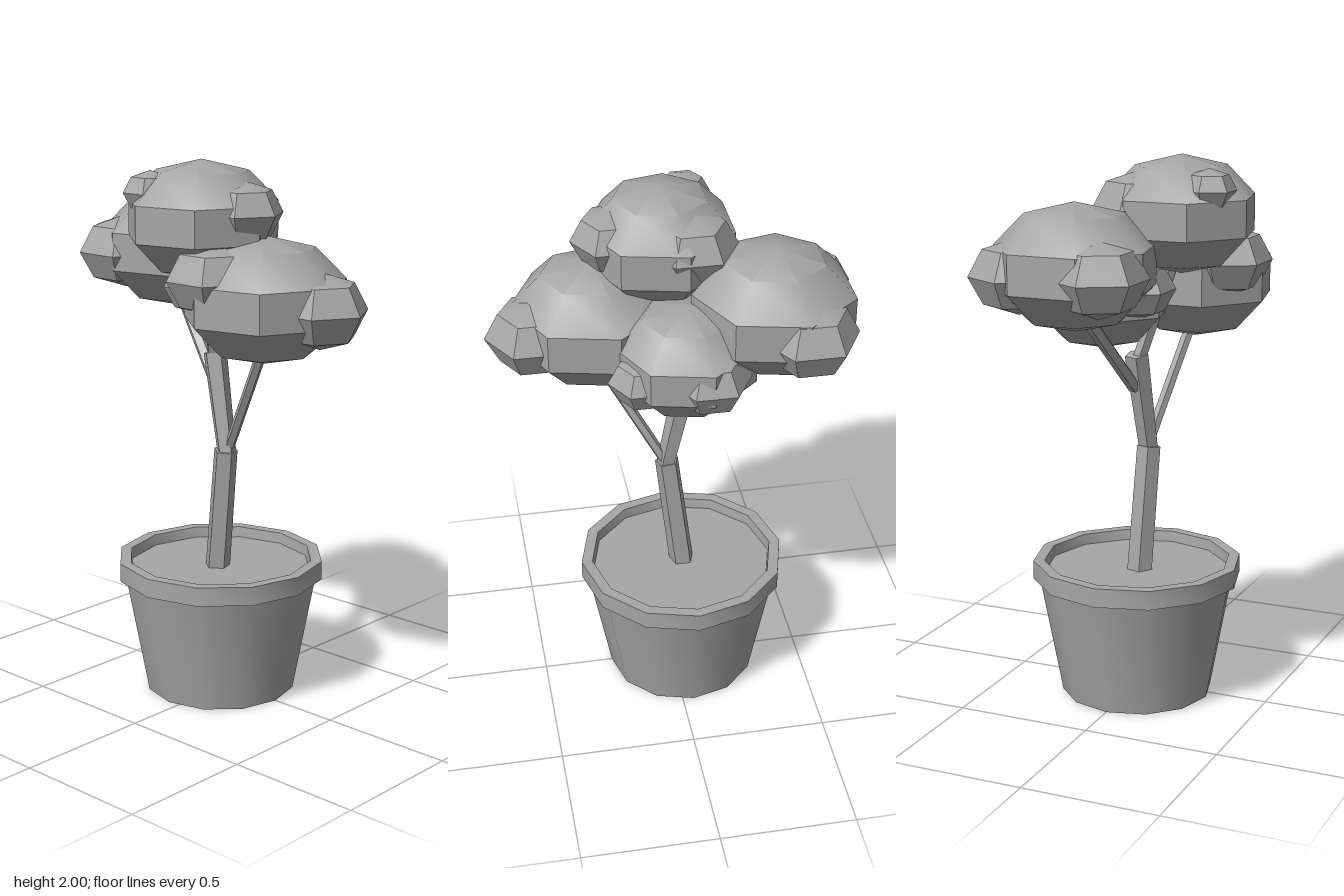
import * as THREE from 'three';
import { toCreasedNormals } from 'three/addons/utils/BufferGeometryUtils.js';

const CREASE = THREE.MathUtils.degToRad(40);
const UP = new THREE.Vector3(0, 1, 0);

export function createModel() {
  const model = new THREE.Group();
  const grey = new THREE.MeshStandardMaterial({ color: 0xa6a6a6 });
  grey.name = 'plainGrey';

  function add(name, geometry, x = 0, y = 0, z = 0) {
    const mesh = new THREE.Mesh(toCreasedNormals(geometry, CREASE), grey);
    mesh.name = name;
    mesh.position.set(x, y, z);
    model.add(mesh);
    return mesh;
  }

  // Twelve-sided pot with an overhanging rim
  const profile = [
    [0.28, 0], [0.362, 0.44], [0.386, 0.44], [0.386, 0.51], [0.345, 0.51], [0.338, 0.45],
  ].map(([r, y]) => new THREE.Vector2(r, y));
  add('pot', new THREE.LatheGeometry(profile, 12), -0.043);
  add('potBase', new THREE.CircleGeometry(0.28, 12).rotateX(Math.PI / 2), -0.043);
  add('soil', new THREE.CircleGeometry(0.342, 12).rotateX(-Math.PI / 2), -0.043, 0.47);

  // Tapered straight limbs between two points
  function limb(name, from, to, r0, r1, sides = 5) {
    const a = new THREE.Vector3(...from), b = new THREE.Vector3(...to);
    const dir = b.clone().sub(a);
    const mid = a.clone().add(b).multiplyScalar(0.5);
    const mesh = add(name, new THREE.CylinderGeometry(r1, r0, dir.length(), sides), mid.x, mid.y, mid.z);
    mesh.quaternion.setFromUnitVectors(UP, dir.normalize());
  }
  limb('lowerTrunk', [-0.048, 0.45, 0.012], [0.008, 0.93, 0.026], 0.048, 0.045);
  limb('upperTrunk', [0.012, 0.915, 0.024], [-0.062, 1.285, 0.008], 0.036, 0.045);
  limb('leftBranch', [0.02, 0.94, 0.02], [0.27, 1.39, 0.1], 0.02, 0.02);
  limb('rightBranch', [-0.06, 1.16, 0], [-0.32, 1.47, -0.08], 0.025, 0.025);
  limb('topBranch', [-0.062, 1.25, 0.01], [0.01, 1.66, 0.13], 0.025, 0.025);

  // Squashed low-poly spheres with one corner towards +x
  function puff(name, [x, y, z, r], across, up, squash) {
    const geometry = new THREE.SphereGeometry(r, across, up).rotateY(Math.PI).scale(1, squash, 1);
    add(name, geometry, x, y, z);
  }

  // Large leaf clumps: x, y, z, radius
  [
    [0.01, 1.79, 0.15, 0.286],
    [-0.344, 1.635, -0.1, 0.305],
    [0.264, 1.53, 0.105, 0.305],
    [-0.03, 1.488, -0.142, 0.265],
  ].forEach((c) => puff('leafClump', c, 7, 5, 0.738));

  // Small leaf tufts set into the clumps
  [
    [0.475, 1.51, 0.055, 0.174],
    [0.17, 1.61, 0.262, 0.168],
    [-0.478, 1.62, 0.05, 0.176],
    [-0.432, 1.605, -0.273, 0.175],
    [-0.09, 1.47, -0.275, 0.146],
    [-0.11, 1.53, 0.03, 0.14],
    [0.13, 1.45, -0.21, 0.125],
    [0.185, 1.825, 0.125, 0.145],
    [-0.08, 1.82, 0.025, 0.165],
    [-0.097, 1.89, 0.295, 0.098],
  ].forEach((c) => puff('leafTuft', c, 6, 4, 0.77));

  return model;
}
